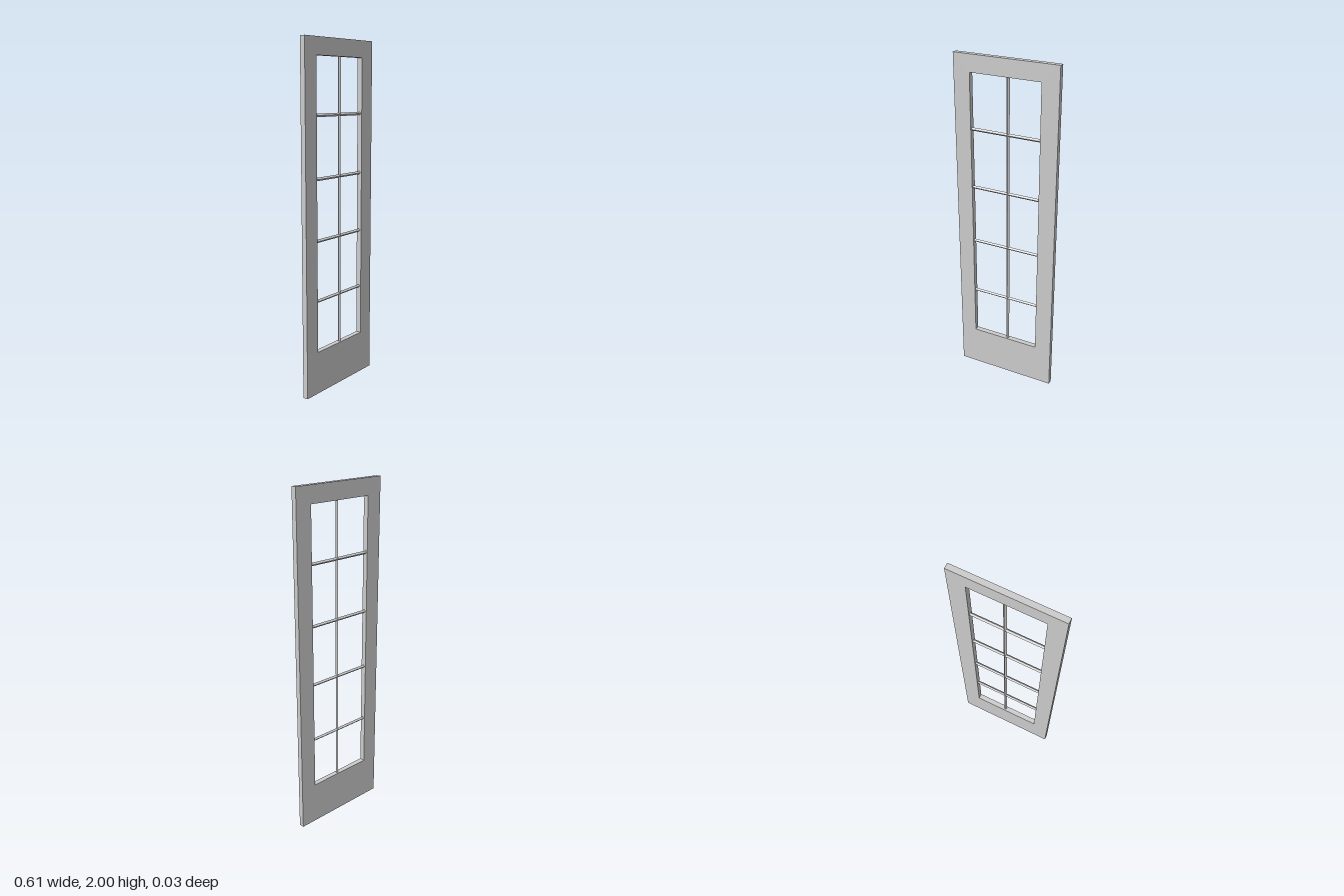
import * as THREE from 'three';

export function createModel() {
  const door = new THREE.Group();
  door.name = 'glazedDoor';
  const material = new THREE.MeshStandardMaterial({ color: 0xcccccc, flatShading: true });

  const depth = 0.031;
  const halfWidth = 0.305;
  const opening = { left: -0.209, right: 0.205, bottom: 0.25, top: 1.903 };

  const rectangle = (path, x0, y0, x1, y1) =>
    path.moveTo(x0, y0).lineTo(x1, y0).lineTo(x1, y1).lineTo(x0, y1).closePath();

  // Door leaf: one slab with a tall opening
  const outline = new THREE.Shape();
  rectangle(outline, -halfWidth, 0, halfWidth, 2);
  const hole = new THREE.Path();
  rectangle(hole, opening.left, opening.bottom, opening.right, opening.top);
  outline.holes.push(hole);
  const leafGeometry = new THREE.ExtrudeGeometry(outline, { depth, bevelEnabled: false });
  leafGeometry.translate(0, 0, -depth / 2);
  const leaf = new THREE.Mesh(leafGeometry, material);
  leaf.name = 'doorFrame';
  door.add(leaf);

  // Glazing bars: slim four-sided rods set edge-on
  const addBar = (name, length, x, y, horizontal) => {
    const bar = new THREE.Mesh(new THREE.CylinderGeometry(0.0095, 0.0095, length, 4), material);
    bar.name = name;
    bar.position.set(x, y, 0);
    if (horizontal) bar.rotation.z = Math.PI / 2;
    door.add(bar);
  };

  const middleX = (opening.left + opening.right) / 2;
  const middleY = (opening.bottom + opening.top) / 2;
  addBar('verticalGlazingBar', opening.top - opening.bottom, 0.011, middleY, false);
  for (let i = 0; i < 4; i++) {
    addBar(`horizontalGlazingBar${i + 1}`, opening.right - opening.left, middleX, 0.546 + i * 0.347, true);
  }

  return door;
}
